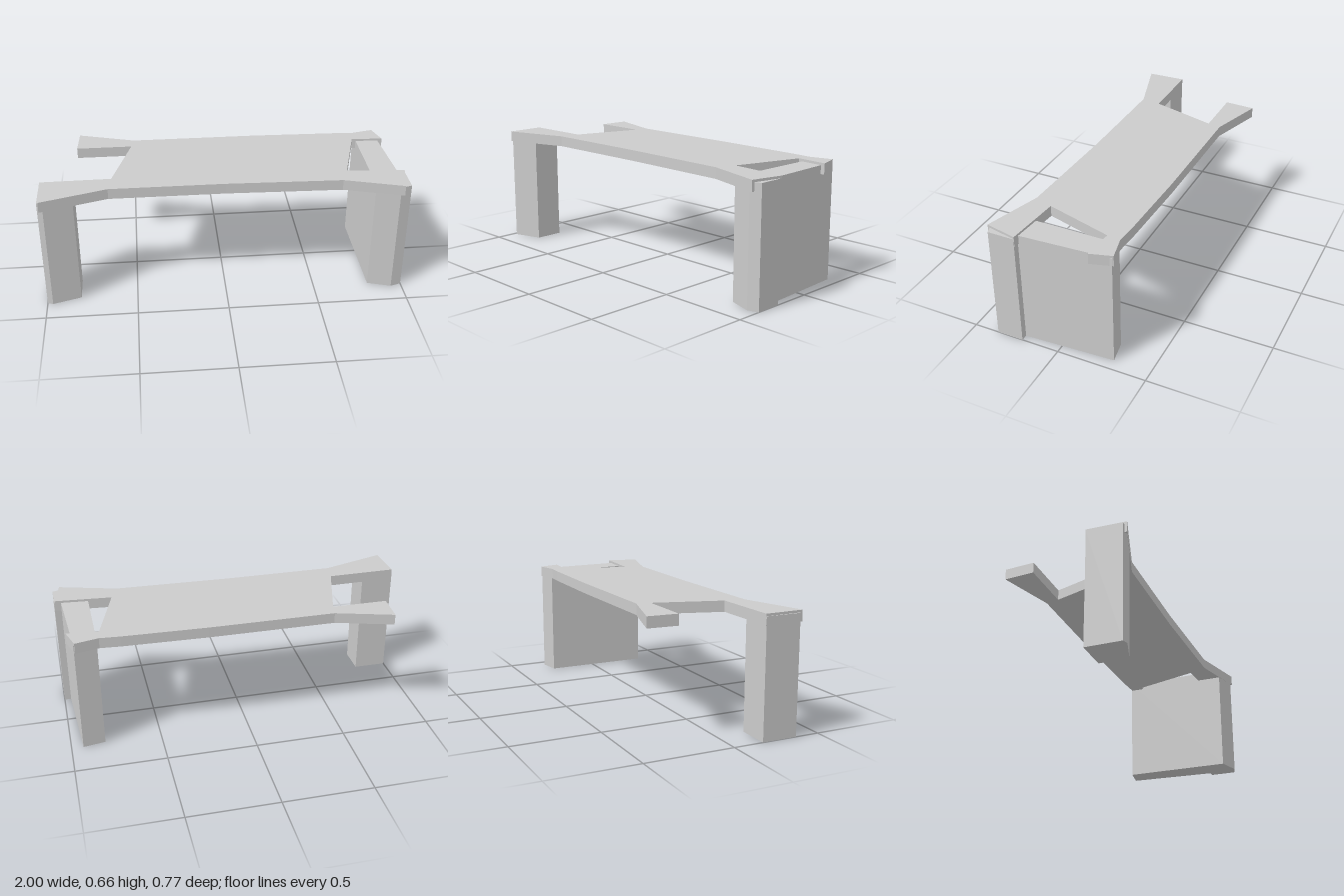
import * as THREE from 'three';

const material = new THREE.MeshStandardMaterial({ color: 0xcccccc, flatShading: true });

// Upright prism from a plan outline of [x, z] corners, between two heights
function prism(name, outline, bottom, top) {
  const shape = new THREE.Shape(outline.map(([x, z]) => new THREE.Vector2(x, -z)));
  const geometry = new THREE.ExtrudeGeometry(shape, { depth: top - bottom, bevelEnabled: false });
  geometry.rotateX(-Math.PI / 2).translate(0, bottom, 0);
  const mesh = new THREE.Mesh(geometry, material);
  mesh.name = name;
  return mesh;
}

export function createModel() {
  const group = new THREE.Group();
  group.name = 'table';

  // Hide-shaped top with four splayed prongs and a slanted notch at each end
  group.add(prism('tableTop', [
    [-0.8, -0.385], [-0.485, -0.29], [0.22, -0.29], [0.69, -0.278], [0.8, -0.27],
    [0.93, -0.3], [0.965, -0.18], [0.79, -0.195], [0.68, 0.185], [0.998, 0.21],
    [0.96, 0.385], [0.64, 0.29], [0, 0.272], [-0.63, 0.272], [-0.99, 0.383],
    [-0.997, 0.165], [-0.612, 0.16], [-0.5, -0.215], [-0.81, -0.215],
  ], 0.598, 0.658));

  // Single post under the front prong at the -x end
  group.add(prism('cornerLeg', [
    [-1, 0.365], [-0.97, 0.376], [-0.815, 0.328], [-0.815, 0.167], [-1, 0.167],
  ], 0, 0.645));

  // Full-depth panel leg at the +x end, stepped out at its front corner
  group.add(prism('panelLeg', [
    [0.812, 0.338], [0.94, 0.379], [1, 0.36], [1, 0.212], [0.963, 0.212],
    [0.935, -0.293], [0.812, -0.272],
  ], 0, 0.645));

  return group;
}
